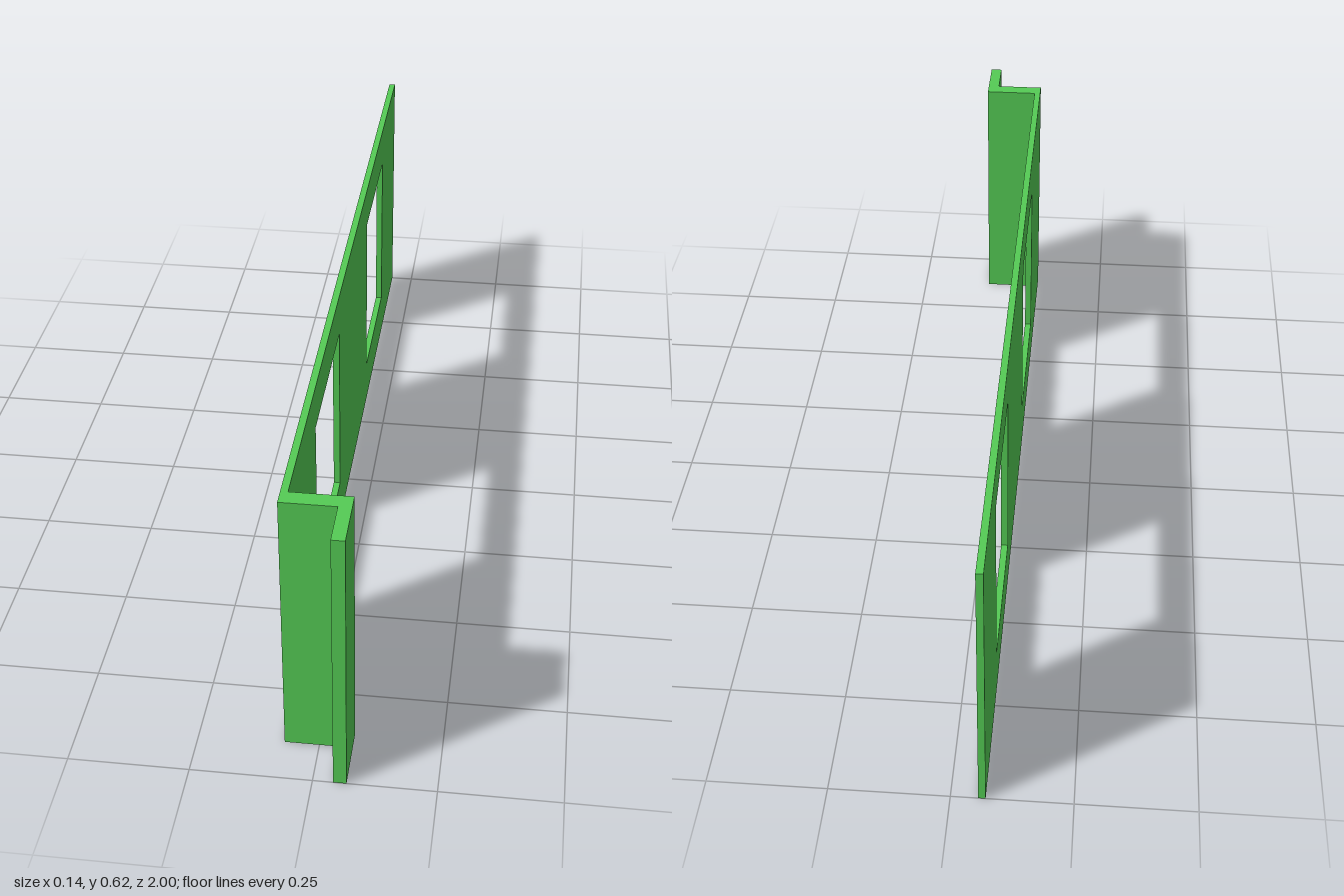
import * as THREE from 'three';

const HEIGHT = 0.617;
const LEAN = 0.005; // slight sideways lean of the whole panel

export function createModel() {
  const group = new THREE.Group();
  group.name = 'wallPanel';
  const material = new THREE.MeshStandardMaterial({ color: 0x55cc55, flatShading: true });

  // Rectangle outline given by its z and y limits (drawn with x = -z)
  const rect = (path, z0, z1, y0, y1) => {
    path.moveTo(-z1, y0);
    path.lineTo(-z0, y0);
    path.lineTo(-z0, y1);
    path.lineTo(-z1, y1);
    path.closePath();
    return path;
  };

  // Upright slab from x0 to x1, with optional rectangular openings
  const addSlab = (name, x0, x1, z0, z1, openings = []) => {
    const shape = rect(new THREE.Shape(), z0, z1, 0, HEIGHT);
    for (const o of openings) shape.holes.push(rect(new THREE.Path(), ...o));
    const geometry = new THREE.ExtrudeGeometry(shape, { depth: x1 - x0, bevelEnabled: false });
    geometry.rotateY(Math.PI / 2).translate(x0, 0, 0);
    geometry.applyMatrix4(new THREE.Matrix4().set(
      1, LEAN, 0, -LEAN * HEIGHT / 2,
      0, 1, 0, 0,
      0, 0, 1, 0,
      0, 0, 0, 1));
    geometry.computeVertexNormals();
    const mesh = new THREE.Mesh(geometry, material);
    mesh.name = name;
    group.add(mesh);
  };

  // Long thin wall with two window openings
  addSlab('wall', -0.07, -0.055, -1, 0.902, [
    [0.158, 0.522, 0.107, 0.521],
    [-0.703, -0.361, 0.107, 0.521],
  ]);
  // Short step out at the front end, then a flange running forward
  addSlab('returnWall', -0.055, 0.043, 0.868, 0.902);
  addSlab('endFlange', 0.043, 0.07, 0.868, 1);

  return group;
}
